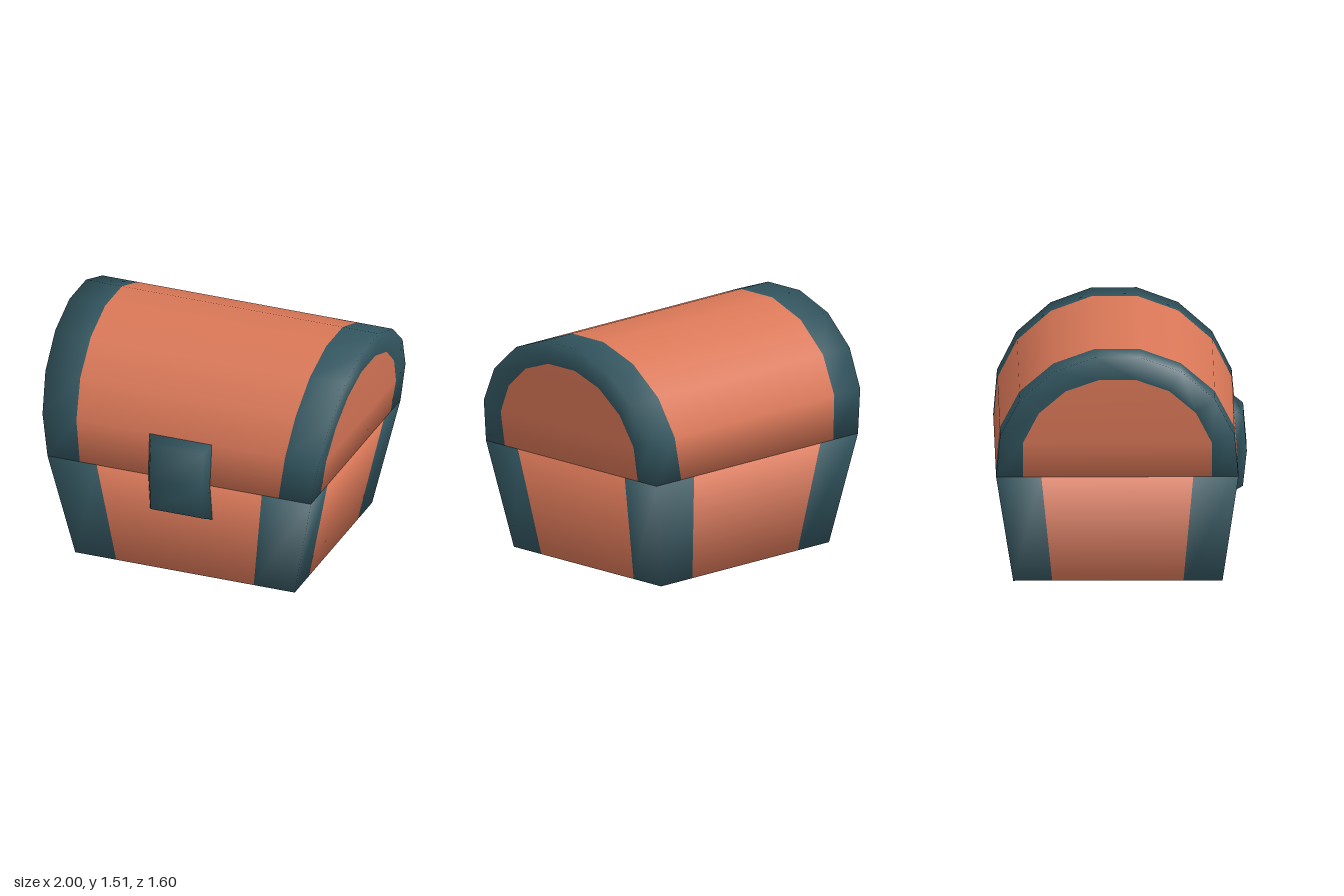
import * as THREE from 'three';

const wood = new THREE.MeshStandardMaterial({ color: 0xd97757 });
wood.name = 'orangeWood';
const trim = new THREE.MeshStandardMaterial({ color: 0x32555f });
trim.name = 'tealTrim';

// Collects welded, smooth-shaded faces of a convex body; each face is turned outward from the centre.
function createBody(name, centre) {
  const ids = new Map(), points = [], normals = [], lists = [[], []];
  const mid = new THREE.Vector3(...centre);
  const weld = (p) => {
    const key = p.map((v) => v.toFixed(4)).join();
    if (!ids.has(key)) {
      ids.set(key, points.length);
      points.push(new THREE.Vector3(...p));
      normals.push(new THREE.Vector3());
    }
    return ids.get(key);
  };
  return {
    face(isTrim, ...corners) {
      const f = corners.map(weld);
      const at = (i) => points[f[i]].clone();
      const n = at(1).sub(at(0)).cross(at(2).sub(at(0))).normalize();
      const c = new THREE.Vector3();
      f.forEach((i) => c.addScaledVector(points[i], 1 / f.length));
      if (n.dot(c.sub(mid)) < 0) {
        f.reverse();
        n.negate();
      }
      f.forEach((i) => normals[i].add(n));
      for (let i = 2; i < f.length; i++) lists[isTrim ? 1 : 0].push(f[0], f[i - 1], f[i]);
    },
    build() {
      const g = new THREE.BufferGeometry().setFromPoints(points);
      const flat = normals.flatMap((n) => n.normalize().toArray());
      g.setAttribute('normal', new THREE.Float32BufferAttribute(flat, 3));
      g.setIndex([...lists[0], ...lists[1]]);
      if (lists[0].length) g.addGroup(0, lists[0].length, 0);
      g.addGroup(lists[0].length, lists[1].length, 1);
      const mesh = new THREE.Mesh(g, [wood, trim]);
      mesh.name = name;
      return mesh;
    },
  };
}

// Flared box with trim wrapped around its four upright corners
function createBase() {
  const body = createBody('base', [0, 0.36, -0.03]);
  const u = [-1, -0.627, 0.627, 1];
  const levels = [
    { y: 0, x: 0.75, z: 0.665, c: -0.025 },
    { y: 0.71, x: 0.9, z: 0.77, c: -0.03 },
  ];
  const p = (i, j, l) => {
    const s = levels[l];
    return [u[i] * s.x, s.y, s.c + u[j] * s.z];
  };
  for (let i = 0; i < 3; i++) {
    for (let j = 0; j < 3; j++) {
      for (const l of [0, 1]) {
        body.face(i !== 1 && j !== 1, p(i, j, l), p(i + 1, j, l), p(i + 1, j + 1, l), p(i, j + 1, l));
      }
    }
    for (const e of [0, 3]) {
      body.face(i !== 1, p(i, e, 0), p(i + 1, e, 0), p(i + 1, e, 1), p(i, e, 1));
      body.face(i !== 1, p(e, i, 0), p(e, i + 1, 0), p(e, i + 1, 1), p(e, i, 1));
    }
  }
  return body.build();
}

// Barrel lid with trim hoops and bowed end panels
function createLid() {
  const body = createBody('lid', [0, 1, -0.03]);
  const mirror = (half) => [...half, ...half.map(([z, y]) => [-z, y]).reverse()];
  const outer = mirror([[0.77, 0.71], [0.745, 0.99], [0.62, 1.23], [0.405, 1.415], [0.143, 1.51]]);
  const inner = mirror([[0.6, 0.71], [0.6, 0.94], [0.5, 1.138], [0.33, 1.285], [0.12, 1.36]]);
  // Half-length of the lid grows with height
  const reach = (y) => {
    const t = (y - 0.71) / 0.8;
    return 0.9 + 0.14 * t - 0.04 * t * t;
  };
  const p = (profile, i, k) => {
    const [z, y] = profile[i];
    return [k * reach(y), y, z - 0.03];
  };
  const hoop = 0.755;

  for (let i = 0; i < 9; i++) {
    body.face(false, p(outer, i, -hoop), p(outer, i, hoop), p(outer, i + 1, hoop), p(outer, i + 1, -hoop));
    for (const s of [-1, 1]) {
      const b = s * hoop;
      body.face(true, p(outer, i, b), p(outer, i, s), p(outer, i + 1, s), p(outer, i + 1, b));
      body.face(true, p(outer, i, s), p(inner, i, s), p(inner, i + 1, s), p(outer, i + 1, s));
    }
  }
  for (const s of [-1, 1]) {
    const b = s * hoop;
    // End panel
    for (let i = 0; i < 4; i++) {
      body.face(false, p(inner, i, s), p(inner, i + 1, s), p(inner, 8 - i, s), p(inner, 9 - i, s));
    }
    // Underside of the end
    body.face(true, p(outer, 0, s), p(inner, 0, s), p(outer, 0, b));
    body.face(true, p(outer, 9, s), p(inner, 9, s), p(outer, 9, b));
    body.face(false, p(inner, 0, s), p(inner, 9, s), p(outer, 9, b), p(outer, 0, b));
  }
  body.face(false, p(outer, 0, -hoop), p(outer, 0, hoop), p(outer, 9, hoop), p(outer, 9, -hoop));
  return body.build();
}

// Bevelled clasp plate, bent where the lid meets the base
function createClasp() {
  const body = createBody('clasp', [0, 0.72, 0.76]);
  const rim = [[0.45, 0.702], [0.71, 0.735], [0.99, 0.715]];
  const front = [[0.485, 0.775], [0.71, 0.8], [0.945, 0.78]];
  const r = (i, s) => [s * 0.213, ...rim[i]];
  const f = (i, s) => [s * 0.18, ...front[i]];
  for (let i = 0; i < 2; i++) {
    body.face(true, f(i, -1), f(i, 1), f(i + 1, 1), f(i + 1, -1));
    body.face(true, r(i, -1), r(i, 1), r(i + 1, 1), r(i + 1, -1));
    for (const s of [-1, 1]) body.face(true, r(i, s), f(i, s), f(i + 1, s), r(i + 1, s));
  }
  for (const i of [0, 2]) body.face(true, r(i, -1), r(i, 1), f(i, 1), f(i, -1));
  return body.build();
}

export function createModel() {
  const chest = new THREE.Group();
  chest.name = 'chest';
  chest.add(createBase(), createLid(), createClasp());
  return chest;
}
